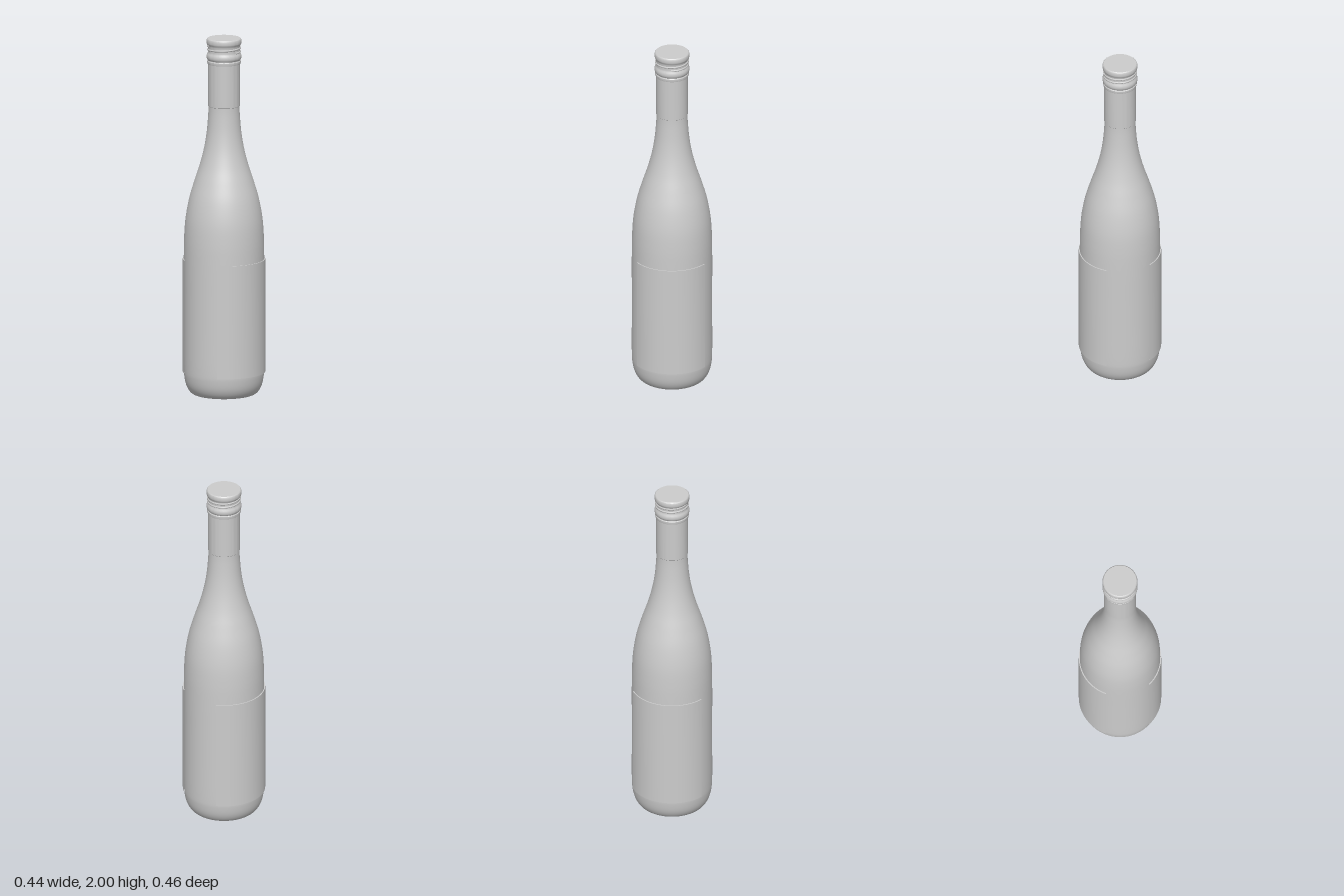
import * as THREE from 'three';
import { toCreasedNormals } from 'three/addons/utils/BufferGeometryUtils.js';

const SEGMENTS = 72;

const points = (list) => list.map(([r, y]) => new THREE.Vector2(r, y));

export function createModel() {
  const bottle = new THREE.Group();
  bottle.name = 'bottle';
  const grey = new THREE.MeshStandardMaterial({ color: 0xcccccc, side: THREE.DoubleSide });
  grey.name = 'plainGrey';

  const add = (name, geometry) => {
    const mesh = new THREE.Mesh(geometry, grey);
    mesh.name = name;
    bottle.add(mesh);
    return mesh;
  };
  // Turned part with sharp edges kept
  const turned = (name, profile, start = 0, sweep = Math.PI * 2, segments = SEGMENTS) =>
    add(name, toCreasedNormals(
      new THREE.LatheGeometry(points(profile), segments, start, sweep), 0.6));

  // Glass: hollow base, rounded heel, straight body, sloping shoulder and neck
  const glass = new THREE.SplineCurve(points([
    [0, 0.06], [0.05, 0.053], [0.1, 0.03], [0.135, 0.006], [0.16, 0],
    [0.187, 0.014], [0.208, 0.05], [0.219, 0.1], [0.222, 0.16],
    [0.222, 0.35], [0.222, 0.55], [0.222, 0.76], [0.22, 0.88], [0.212, 0.99],
    [0.192, 1.1], [0.163, 1.2], [0.134, 1.29], [0.111, 1.38], [0.096, 1.47],
    [0.088, 1.56], [0.0855, 1.63], [0.0855, 1.75], [0.0855, 1.87],
  ]));
  add('glassBody', new THREE.LatheGeometry(glass.getPoints(110), SEGMENTS));

  // Sleeve around the upper neck
  turned('neckSleeve', [[0.085, 1.617], [0.0875, 1.62], [0.0875, 1.86]]);

  // Front and back labels wrapped on the body
  const label = (name, centre, half) => turned(name, [
    [0.2205, 0.125], [0.2275, 0.125], [0.2275, 0.76], [0.2205, 0.76],
  ], centre - half, half * 2, 32);
  label('frontLabel', 0, 0.97);
  label('backLabel', Math.PI, 1.02);

  // Screw cap with a tear band, bead and flat top
  turned('screwCap', [
    [0.085, 1.857], [0.091, 1.857], [0.0925, 1.862], [0.0925, 1.873],
    [0.0895, 1.876], [0.0895, 1.879], [0.094, 1.884], [0.0965, 1.893],
    [0.0965, 1.902], [0.094, 1.912], [0.09, 1.918], [0.089, 1.925],
    [0.089, 1.957], [0.091, 1.964], [0.095, 1.969], [0.0965, 1.975],
    [0.0965, 1.988], [0.0945, 1.996], [0.09, 2], [0, 2],
  ]);

  // Raised thread spiralling around the cap
  const turns = 1.7;
  const spiral = Array.from({ length: 65 }, (_, i) => {
    const t = i / 64;
    const a = t * turns * Math.PI * 2;
    return new THREE.Vector3(Math.sin(a) * 0.0885, 1.924 + t * 0.035, Math.cos(a) * 0.0885);
  });
  add('capThread', new THREE.TubeGeometry(new THREE.CatmullRomCurve3(spiral), 140, 0.0055, 8));

  return bottle;
}
